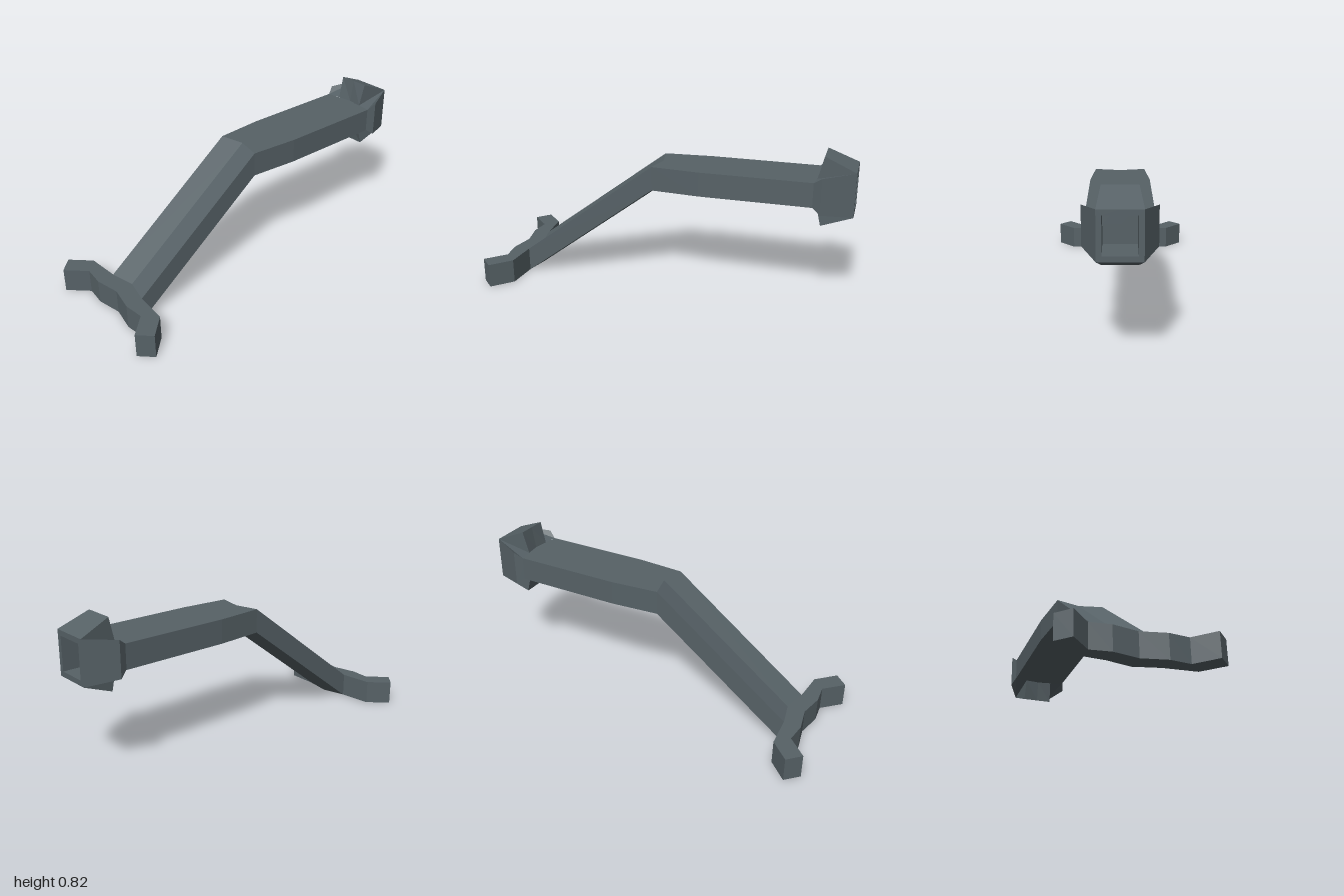
import * as THREE from 'three';

const material = new THREE.MeshStandardMaterial({ color: 0x566166, flatShading: true });

// Flat-shaded geometry from convex polygons, each a list of [x, y, z] corners
function polygons(faces) {
  const pos = [];
  for (const f of faces)
    for (let i = 1; i < f.length - 1; i++) pos.push(...f[0], ...f[i], ...f[i + 1]);
  const g = new THREE.BufferGeometry();
  g.setAttribute('position', new THREE.Float32BufferAttribute(pos, 3));
  g.computeVertexNormals();
  return g;
}

function part(name, geometry) {
  const mesh = new THREE.Mesh(geometry, material);
  mesh.name = name;
  return mesh;
}

// Curved foot bar: mirrored plan outline raised to its height
function footGeometry() {
  const half = [[0, 0.79], [0.134, 0.82], [0.31, 0.832], [0.408, 0.932],
    [0.34, 1], [0.243, 0.9], [0.134, 0.912], [0, 0.885]];
  const mirrored = half.slice(1, -1).reverse().map(([x, z]) => [-x, z]);
  const shape = new THREE.Shape([...half, ...mirrored].map(([x, z]) => new THREE.Vector2(x, -z)));
  return new THREE.ExtrudeGeometry(shape, { depth: 0.132, bevelEnabled: false }).rotateX(-Math.PI / 2);
}

// Bent arm: six-point sections [half width, bottom y, side z, centre z]
function armGeometry() {
  const rings = [
    [0.134, 0, 0.82, 0.79],
    [0.134, 0.568, 0.065, 0.035],
    [0.155, 0.568, -0.2, -0.2],
    [0.155, 0.568, -0.795, -0.815],
  ].map(([w, y, z, zc]) => {
    const t = y + 0.132;
    return [[-w, t, z], [0, t, zc], [w, t, z], [w, y, z], [0, y, zc], [-w, y, z]];
  });
  const faces = [];
  for (let r = 0; r < rings.length - 1; r++)
    for (let i = 0; i < 6; i++) {
      const j = (i + 1) % 6;
      faces.push([rings[r][i], rings[r][j], rings[r + 1][j], rings[r + 1][i]]);
    }
  return polygons(faces);
}

// Flared socket: one quarter, mirrored across both axes
function socketGeometry() {
  const cy = 0.635;
  const back = [0.105, 0.118, -1], backTop = [0, 0.118, -1], backSide = [0.105, 0, -1];
  const top = [0.085, 0.187, -0.835], topMid = [0, 0.187, -0.835];
  const topBase = [0.08, 0.065, -0.805], topBaseMid = [0, 0.065, -0.815];
  const side = [0.175, 0.097, -0.838], sideMid = [0.175, 0, -0.838];
  const sideBase = [0.155, 0.065, -0.795], sideBaseMid = [0.155, 0, -0.795];
  const rim = [0.08, 0.09, -1], rimTop = [0, 0.09, -1], rimSide = [0.08, 0, -1];
  const deep = ([x, y]) => [x, y, -0.825];
  const quarter = [
    // upper flare
    [backTop, topMid, top, back],
    [topMid, topBaseMid, topBase, top],
    [top, topBase, back],
    // corner between flares
    [topBase, sideBase, back],
    // side flare
    [sideBase, side, back],
    [backSide, back, side, sideMid],
    [sideBaseMid, sideMid, side, sideBase],
    // rim and recess
    [backTop, back, rim, rimTop],
    [back, backSide, rimSide, rim],
    [rimTop, rim, deep(rim), deep(rimTop)],
    [rim, rimSide, deep(rimSide), deep(rim)],
    [deep(rimTop), deep(rim), deep(rimSide), [0, 0, -0.825]],
  ];
  const faces = [];
  for (const sx of [1, -1])
    for (const sy of [1, -1])
      for (const f of quarter) {
        const m = f.map(([x, y, z]) => [sx * x, cy + sy * y, z]);
        faces.push(sx * sy < 0 ? m.reverse() : m);
      }
  return polygons(faces);
}

export function createModel() {
  const model = new THREE.Group();
  model.name = 'bentBracket';
  model.add(
    part('footBar', footGeometry()),
    part('bentArm', armGeometry()),
    part('flaredSocket', socketGeometry()),
  );
  return model;
}
